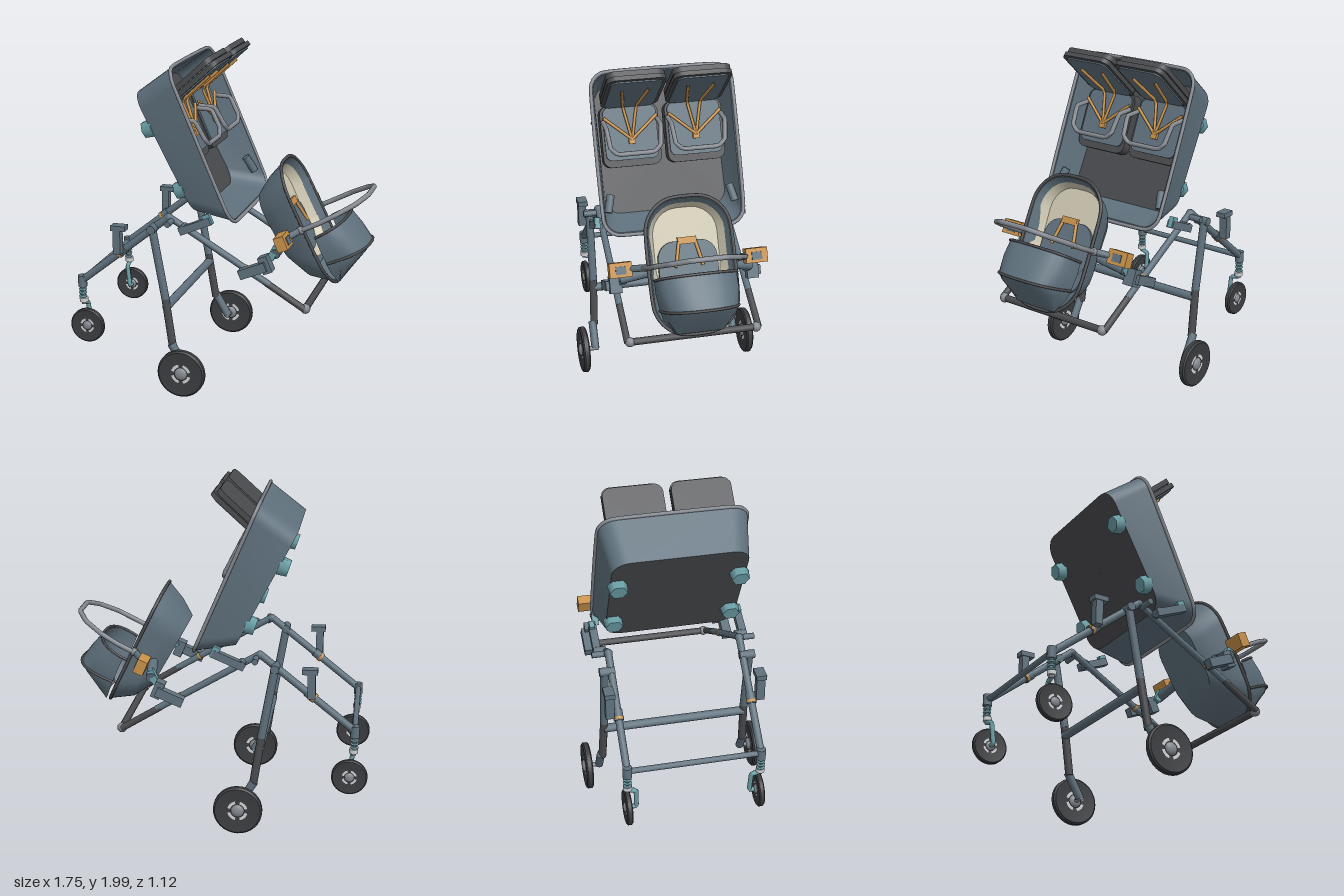
import * as THREE from 'three';
import { toCreasedNormals } from 'three/addons/utils/BufferGeometryUtils.js';

const paint = (name, color, side = THREE.FrontSide) => {
  const m = new THREE.MeshStandardMaterial({ color, side });
  m.name = name;
  return m;
};
const V = (x, y, z) => new THREE.Vector3(x, y, z);

export function createModel() {
  const slate = paint('slate', 0x5f717d, THREE.DoubleSide);
  const dark = paint('charcoal', 0x4a4b4e);
  const rubber = paint('rubber', 0x3c3d40);
  const grey = paint('grey', 0x858a91);
  const silver = paint('silver', 0xcfd2d3, THREE.DoubleSide);
  const teal = paint('teal', 0x6ba0a8);
  const orange = paint('orange', 0xc8914a);
  const cream = paint('cream', 0xcfc9b3, THREE.DoubleSide);

  const model = new THREE.Group();
  model.name = 'stroller';
  const add = (name, geo, mat, parent = model) => {
    const mesh = new THREE.Mesh(geo, mat);
    mesh.name = name;
    parent.add(mesh);
    return mesh;
  };
  const tilted = (name, x, y, angle, parent = model) => {
    const g = new THREE.Group();
    g.name = name;
    g.position.set(x, y, 0);
    g.rotation.z = angle;
    parent.add(g);
    return g;
  };
  // straight round bar between two points
  const rod = (name, a, b, r, mat, parent = model, r2 = r) => {
    const d = b.clone().sub(a);
    const m = add(name, new THREE.CylinderGeometry(r2, r, d.length(), 12), mat, parent);
    m.position.copy(a).addScaledVector(d, 0.5);
    m.quaternion.setFromUnitVectors(V(0, 1, 0), d.normalize());
    return m;
  };
  const box = (name, x, y, z, w, h, d, mat, angle = 0, parent = model) => {
    const m = add(name, new THREE.BoxGeometry(w, h, d), mat, parent);
    m.position.set(x, y, z);
    m.rotation.z = angle;
    return m;
  };
  const ball = (name, p, r, mat) =>
    add(name, new THREE.SphereGeometry(r, 14, 10), mat).position.copy(p);
  // bent bar through several points
  const bentBar = (name, pts, r, mat, parent = model, closed = false, round = false) => {
    const path = round ? new THREE.CatmullRomCurve3(pts, closed) : new THREE.CurvePath();
    if (!round) for (let i = 1; i < pts.length; i++) path.add(new THREE.LineCurve3(pts[i - 1], pts[i]));
    return add(name, new THREE.TubeGeometry(path, pts.length * 4, r, 8, closed), mat, parent);
  };

  // rounded-rectangle section in the y-z plane; its depth x may slope from top to bottom
  const ring = (top, bottom, w, r, xTop, xBottom = xTop, zc = 0, n = 6) => {
    const pts = [];
    const corners = [[top - r, w - r], [bottom + r, w - r], [bottom + r, r - w], [top - r, r - w]];
    corners.forEach(([cy, cz], q) => {
      for (let i = 0; i <= n; i++) {
        const t = (q + i / n) * Math.PI / 2;
        const y = cy + r * Math.cos(t);
        pts.push(V(xTop + (xBottom - xTop) * (top - y) / (top - bottom), y, zc + cz + r * Math.sin(t)));
      }
    });
    return pts;
  };
  const centre = (pts) => {
    const c = V(0, 0, 0);
    pts.forEach((p) => c.add(p));
    c.divideScalar(pts.length);
    return pts.map((p) => p.clone().lerp(c, 0.999));
  };
  const loft = (rings, closed = true) => {
    const n = rings[0].length, idx = [];
    for (let i = 0; i < rings.length - 1; i++)
      for (let j = 0; j < (closed ? n : n - 1); j++) {
        const k = (j + 1) % n, a = i * n;
        idx.push(a + j, a + k, a + n + k, a + j, a + n + k, a + n + j);
      }
    const geo = new THREE.BufferGeometry().setFromPoints(rings.flat());
    geo.setIndex(idx);
    return toCreasedNormals(geo, 0.5);
  };
  const pad = (name, top, bottom, w, r, x0, x1, zc, mat, parent) => {
    const a = ring(top, bottom, w, r, x0, x0, zc), b = ring(top, bottom, w, r, x1, x1, zc);
    return add(name, loft([centre(a), a, b, centre(b)]), mat, parent);
  };

  // large tub
  const tub = tilted('tub', -0.24, 1.915, 0.407);
  const tubRim = ring(0, -0.953, 0.425, 0.1, 0);
  const tubBase = ring(-0.06, -0.83, 0.385, 0.1, -0.262, -0.205);
  const tubFloor = ring(-0.07, -0.83, 0.37, 0.09, -0.24, -0.185);
  add('tubWall', loft([tubBase, tubRim, ring(-0.014, -0.939, 0.411, 0.09, 0), tubFloor]), slate, tub);
  add('tubBase', loft([centre(tubBase), tubBase]), dark, tub);
  add('tubFloor', loft([tubFloor, centre(tubFloor)]), dark, tub);
  bentBar('tubRim', tubRim, 0.011, grey, tub, true, true);
  for (const s of [1, -1])
    for (const [y, x] of [[-0.278, -0.27], [-0.67, -0.235]]) {
      const foot = add('tubFoot', new THREE.CylinderGeometry(0.05, 0.058, 0.06, 6), teal, tub);
      foot.position.set(x, y, s * 0.345);
      foot.rotation.z = Math.PI / 2 - 0.07;
    }

  // two reclining seats with harness and grab bar
  const backs = tilted('seatBacks', -0.25, 1.69, -0.835);
  const seats = tilted('seatBottoms', -0.25, 1.69, 0.407);
  for (const c of [0.195, -0.195]) {
    pad('backShell', 0.372, 0, 0.172, 0.05, -0.065, -0.034, c, dark, backs);
    pad('backFrame', 0.388, 0, 0.172, 0.05, -0.028, 0, c, dark, backs);
    pad('backCore', 0.36, 0.02, 0.155, 0.04, -0.036, -0.026, c, slate, backs);
    pad('backCushion', 0.365, 0.01, 0.15, 0.04, 0, 0.008, c, slate, backs);
    pad('seatShell', 0.01, -0.355, 0.175, 0.05, -0.07, 0, c, dark, seats);
    pad('seatCushion', 0, -0.315, 0.16, 0.04, 0, 0.01, c, slate, seats);
    for (const s of [1, -1]) {
      bentBar('shoulderStrap', [V(-0.035, 1.865, c + s * 0.08), V(-0.215, 1.7, c + s * 0.04),
        V(-0.145, 1.515, c)], 0.009, orange);
      rod('lapStrap', V(-0.2, 1.645, c + s * 0.16), V(-0.145, 1.52, c), 0.009, orange);
    }
    box('harnessBuckle', -0.145, 1.51, c, 0.02, 0.035, 0.04, orange, 0.407);
    bentBar('grabBar', [V(-0.2, 1.62, c + 0.163), V(-0.1, 1.615, c + 0.163), V(-0.045, 1.51, c + 0.15),
      V(-0.035, 1.475, c + 0.11), V(-0.035, 1.475, c - 0.11), V(-0.045, 1.51, c - 0.15),
      V(-0.1, 1.615, c - 0.163), V(-0.2, 1.62, c - 0.163)], 0.014, grey);
  }

  // infant carrier shell
  const carrier = tilted('carrier', 0.342, 1.342, 0.4556);
  const rim = ring(0, -0.78, 0.25, 0.2, 0);
  const base = ring(-0.12, -0.58, 0.17, 0.13, -0.216, -0.19);
  const floor = ring(-0.1, -0.62, 0.17, 0.13, -0.17, -0.15);
  add('carrierShell', loft([centre(base), base, ring(-0.055, -0.7, 0.225, 0.18, -0.12), rim,
    ring(-0.012, -0.768, 0.238, 0.19, 0), floor, centre(floor)]), slate, carrier);
  bentBar('carrierRim', rim, 0.01, dark, carrier, true, true);
  const lining = ring(-0.06, -0.55, 0.19, 0.15, -0.09, -0.11);
  add('carrierLining', loft([ring(-0.035, -0.6, 0.222, 0.18, -0.04), lining, centre(lining)]), cream, carrier);
  pad('carrierCushion', -0.25, -0.66, 0.175, 0.1, -0.13, -0.085, 0, slate, carrier);
  for (const s of [1, -1])
    rod('carrierStrap', V(-0.07, -0.24, s * 0.045), V(-0.06, -0.4, s * 0.08), 0.01, orange, carrier);
  box('carrierBuckle', -0.07, -0.25, 0, 0.02, 0.04, 0.11, orange, 0, carrier);

  // folding hood: arches rising from the carrier rim to a peak
  const arches = [[0.575, 0.945, 0.73, 1.04, 0.235], [0.605, 0.88, 0.8, 0.965, 0.235],
    [0.645, 0.79, 0.865, 0.88, 0.22], [0.665, 0.74, 0.845, 0.84, 0.205], [0.7, 0.66, 0.715, 0.665, 0.14]];
  const archPoints = ([bx, by, px, py, w], n = 14) => Array.from({ length: n + 1 }, (_, j) => {
    const t = j / n * Math.PI, k = Math.pow(Math.max(0, Math.sin(t)), 0.7);
    return V(bx + (px - bx) * k, by + (py - by) * k, w * Math.sign(Math.cos(t)) * Math.abs(Math.cos(t)) ** 0.8);
  });
  add('hood', loft(arches.map((a) => archPoints(a)), false), slate);
  for (const a of [arches[0], arches[2]]) bentBar('hoodHoop', archPoints(a), 0.008, dark, model, false, true);

  // carrying handle
  const half = [[0.5, 0.995, 0.27], [0.6, 1.045, 0.272], [0.7, 1.1, 0.255], [0.8, 1.155, 0.195], [0.855, 1.19, 0.1]];
  bentBar('carryHandle', [...half.map(([x, y, z]) => V(x, y, z)),
    ...half.slice().reverse().map(([x, y, z]) => V(x, y, -z))], 0.015, grey);

  // wheel with hub details on both faces
  const wheel = (name, x, y, z, R, h) => {
    const g = new THREE.Group();
    g.name = name;
    g.position.set(x, y, z);
    model.add(g);
    const prof = [[0, -0.7 * h], [0.5 * R, -0.7 * h], [0.93 * R, -h], [R, -0.6 * h], [R, 0.6 * h],
      [0.93 * R, h], [0.5 * R, 0.7 * h], [0, 0.7 * h]].map(([r, v]) => new THREE.Vector2(r, v));
    add('tyre', toCreasedNormals(new THREE.LatheGeometry(prof, 32), 0.4), rubber, g).rotation.x = Math.PI / 2;
    for (const s of [1, -1]) {
      for (let i = 0; i < 4; i++)
        add('hubRing', new THREE.RingGeometry(R * 0.3, R * 0.42, 8, 1, i * Math.PI / 2 + 0.25, 1.07), silver, g)
          .position.z = s * (0.7 * h + 0.002);
      const cap = add('hubCap', new THREE.SphereGeometry(R * 0.27, 14, 10), grey, g);
      cap.position.z = s * 0.7 * h;
      cap.scale.z = 0.5;
    }
  };

  for (const s of [1, -1]) {
    const z = s * 0.39, zo = s * 0.43;
    // side frame
    rod('casterArm', V(-0.8, 0.61, z), V(-0.25, 1.05, z), 0.022, slate);
    rod('handleArm', V(-0.25, 1.05, z), V(0.35, 0.695, z), 0.02, slate);
    rod('handleGrip', V(0.33, 0.705, z), V(0.56, 0.565, z), 0.02, dark);
    ball('gripEnd', V(0.56, 0.565, s * 0.375), 0.029, grey);
    ball('frameKnee', V(-0.25, 1.045, z), 0.026, slate);
    rod('legUpper', V(-0.34, 0.98, zo), V(-0.265, 0.56, zo), 0.024, slate);
    rod('legLower', V(-0.265, 0.56, zo), V(-0.22, 0.27, s * 0.44), 0.024, dark);
    rod('legPivot', V(-0.34, 0.98, s * 0.37), V(-0.34, 0.98, s * 0.46), 0.026, slate);
    rod('frameKnob', V(-0.23, 1.03, s * 0.38), V(-0.23, 1.03, s * 0.485), 0.018, slate);
    // large wheel and its axle
    rod('axleLink', V(-0.225, 0.29, s * 0.45), V(-0.14, 0.143, s * 0.45), 0.025, slate);
    rod('axle', V(-0.14, 0.143, s * 0.43), V(-0.14, 0.143, s * 0.51), 0.014, grey);
    wheel('largeWheel', -0.14, 0.143, s * 0.525, 0.143, 0.021);
    // sprung caster
    rod('casterPost', V(-0.8, 0.64, z), V(-0.8, 0.57, z), 0.027, slate);
    rod('springCore', V(-0.8, 0.58, z), V(-0.795, 0.46, z), 0.014, grey);
    for (let i = 0; i < 4; i++) {
      const coil = add('springCoil', new THREE.TorusGeometry(0.018, 0.007, 6, 14), teal);
      coil.position.set(-0.8, 0.575 - i * 0.022, z);
      coil.rotation.x = Math.PI / 2;
    }
    rod('casterCollar', V(-0.795, 0.5, z), V(-0.795, 0.475, z), 0.026, silver);
    bentBar('casterFork', [V(-0.795, 0.47, z), V(-0.79, 0.455, s * 0.34), V(-0.775, 0.325, s * 0.335),
      V(-0.775, 0.325, s * 0.38)], 0.014, teal);
    wheel('smallWheel', -0.775, 0.325, s * 0.388, 0.105, 0.017);
    // upright socket on the caster arm
    box('socketStem', -0.55, 0.89, s * 0.44, 0.045, 0.15, 0.05, slate);
    box('socketTop', -0.54, 0.975, s * 0.44, 0.088, 0.03, 0.06, slate);
    rod('socketClamp', V(-0.57, 0.795, z), V(-0.52, 0.835, z), 0.028, slate);
    rod('clampBand', V(-0.565, 0.798, z), V(-0.553, 0.808, z), 0.03, orange);
    // tub mount
    box('tubBracket', -0.075, 1.025, s * 0.44, 0.2, 0.045, 0.045, slate, 0.4);
    box('tubLatch', 0, 1.07, s * 0.445, 0.045, 0.065, 0.03, teal, 0.4);
    rod('tubBracketPin', V(-0.15, 1, z), V(-0.15, 1, s * 0.46), 0.024, slate);
    rod('tubSideBlock', V(0.05, 1.15, s * 0.385), V(0, 1.24, s * 0.36), 0.024, slate);
    // carrier mount
    box('carrierBracket', 0.265, 0.79, s * 0.437, 0.165, 0.055, 0.055, slate, 0.4);
    box('carrierPost', 0.335, 0.825, s * 0.41, 0.055, 0.1, 0.07, slate, 0.4);
    box('carrierLatch', 0.37, 0.885, s * 0.37, 0.04, 0.085, 0.04, teal, -0.45);
    rod('carrierArm', V(0.38, 0.88, s * 0.39), V(0.4, 0.92, s * 0.21), 0.03, slate);
    box('carrierClip', 0.43, 0.965, s * 0.4, 0.06, 0.085, 0.13, orange, 0.4);
    box('clipInset', 0.46, 0.975, s * 0.4, 0.008, 0.045, 0.06, slate, 0.4);
    rod('clipArm', V(0.44, 0.97, s * 0.34), V(0.5, 0.995, s * 0.25), 0.02, slate);
    ball('handlePivot', V(0.5, 0.995, s * 0.265), 0.024, grey);
    rod('armBand', V(0.2, 0.783, z), V(0.212, 0.776, z), 0.024, orange);
  }

  // cross bars
  rod('casterCrossBar', V(-0.8, 0.61, -0.39), V(-0.8, 0.61, 0.39), 0.017, slate);
  rod('legCrossBar', V(-0.26, 0.51, -0.43), V(-0.26, 0.51, 0.43), 0.026, slate);
  rod('pushBar', V(0.56, 0.565, -0.375), V(0.56, 0.565, 0.375), 0.021, dark);
  return model;
}
